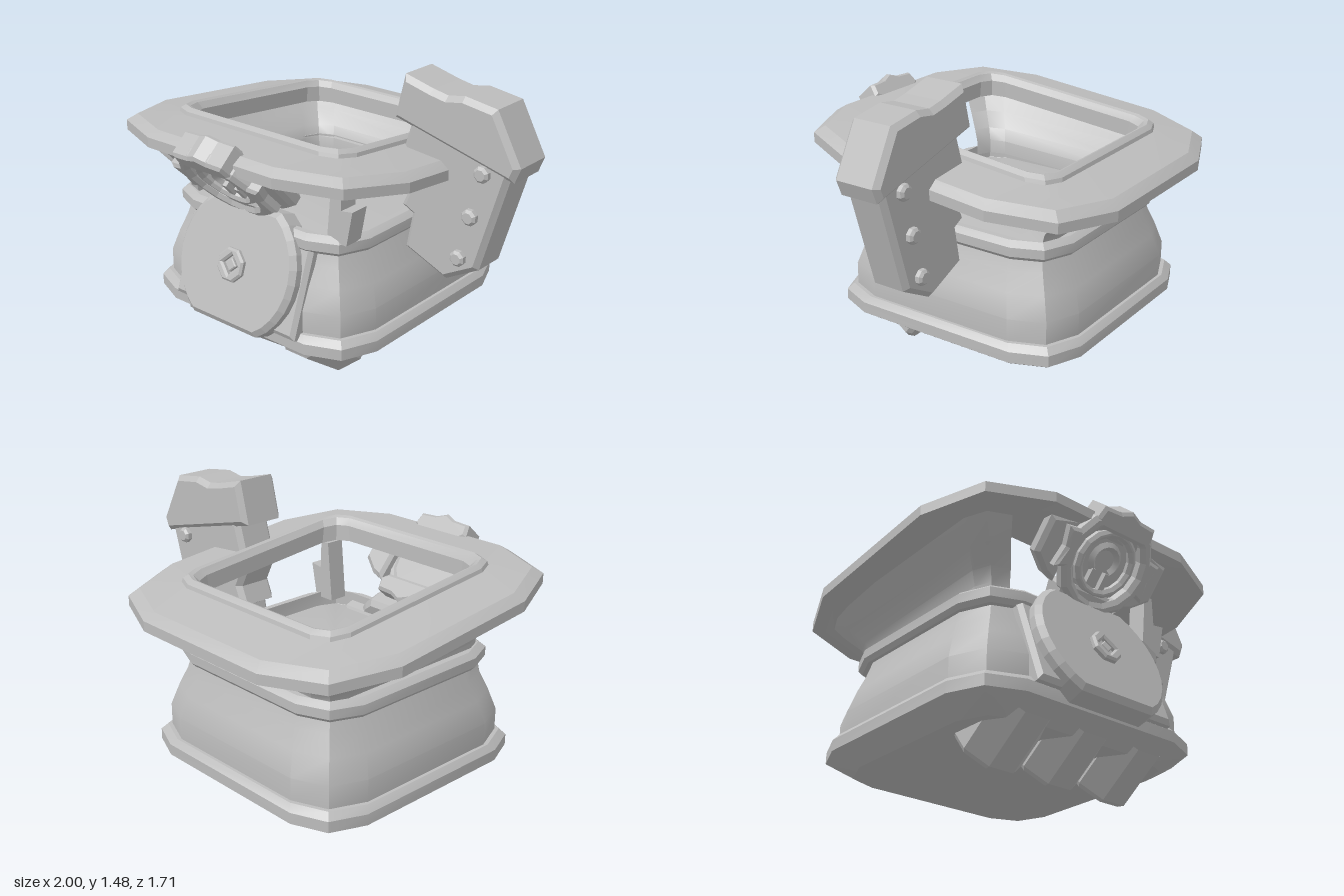
import * as THREE from 'three';
import { toCreasedNormals } from 'three/addons/utils/BufferGeometryUtils.js';

const CX = -0.185, CZ = -0.04;

export function createModel() {
  const group = new THREE.Group();
  const grey = new THREE.MeshStandardMaterial({ color: 0xbcbcbc });
  grey.name = 'stone grey';
  grey.side = THREE.DoubleSide;

  function add(name, geo, parent = group, x = 0, y = 0, z = 0) {
    const mesh = new THREE.Mesh(geo, grey);
    mesh.name = name;
    mesh.position.set(x, y, z);
    parent.add(mesh);
    return mesh;
  }

  // Stacked rounded squares; each ring is [half width, corner radius, height].
  function loft(rings, { slope = 0, crease = 0.5, keep = () => true } = {}) {
    const pos = [], index = [];
    for (const [h, c, y] of rings) {
      for (let q = 0; q < 4; q++) {
        for (let k = 0; k < 3; k++) {
          const a = (q + k / 2) * Math.PI / 2, m = (q + 0.5) * Math.PI / 2;
          const x = Math.sign(Math.cos(m)) * (h - c) + Math.cos(a) * c;
          const z = Math.sign(Math.sin(m)) * (h - c) + Math.sin(a) * c;
          pos.push(CX + x, y + slope * z, CZ + z);
        }
      }
    }
    for (let i = 0; i < rings.length - 1; i++) {
      for (let j = 0; j < 12; j++) {
        if (!keep(j)) continue;
        const a = i * 12 + j, b = i * 12 + (j + 1) % 12;
        index.push(a, a + 12, b, b, a + 12, b + 12);
      }
    }
    const geo = new THREE.BufferGeometry();
    geo.setAttribute('position', new THREE.Float32BufferAttribute(pos, 3));
    geo.setIndex(index);
    return toCreasedNormals(geo, crease);
  }

  // Bevelled plate, centred on z = 0, keeping the given outline.
  function plate(points, depth, bevel, holes = []) {
    const shape = new THREE.Shape(points.map(p => new THREE.Vector2(p[0], p[1])));
    for (const h of holes) shape.holes.push(new THREE.Path(h.map(p => new THREE.Vector2(p[0], p[1]))));
    const geo = new THREE.ExtrudeGeometry(shape, {
      depth: depth - 2 * bevel, bevelEnabled: bevel > 0, bevelSize: bevel,
      bevelThickness: bevel, bevelOffset: -bevel, bevelSegments: 1
    });
    geo.translate(0, 0, bevel - depth / 2);
    return geo;
  }

  const polygon = (n, r, turn = 0) => Array.from({ length: n }, (_, i) => {
    const a = (i + turn) / n * Math.PI * 2;
    return [Math.cos(a) * r, Math.sin(a) * r];
  });

  // Body with floor, foot trim and waist band
  add('body', loft([
    [0.6, 0.22, 0.3], [0.635, 0.24, 0.32], [0.635, 0.24, 0.43], [0.6, 0.23, 0.54],
    [0.565, 0.22, 0.63], [0.54, 0.2, 0.71], [0.5, 0.1, 0.715], [0, 0, 0.715]
  ]));
  add('baseTrim', loft([
    [0, 0, 0.162], [0.565, 0.2, 0.162], [0.625, 0.22, 0.2], [0.675, 0.24, 0.235],
    [0.675, 0.24, 0.29], [0.65, 0.24, 0.32], [0.6, 0.22, 0.32]
  ], { crease: 0.4 }));
  add('waistBand', loft([
    [0.52, 0.18, 0.69], [0.56, 0.2, 0.695], [0.578, 0.21, 0.715], [0.578, 0.21, 0.76],
    [0.55, 0.2, 0.785], [0.52, 0.12, 0.785], [0.52, 0.12, 0.71]
  ], { crease: 0.4 }));

  // Neck: open at the front and on the arm side
  add('neck', loft([
    [0.51, 0.11, 0.72], [0.515, 0.11, 0.79], [0.545, 0.12, 0.85], [0.61, 0.13, 0.92], [0.68, 0.15, 1.01]
  ], { slope: 0.04, keep: j => j >= 3 && j <= 9 }));
  add('neckPost', plate([
    [0.25, 0.76], [0.365, 0.76], [0.4, 0.935], [0.335, 0.925], [0.33, 1.07], [0.28, 1.07]
  ], 0.1, 0), group, 0, 0, 0.415);

  // Tilted brim with raised collar around the opening
  add('brim', loft([
    [0.475, 0.1, 1.04], [0.62, 0.2, 1.03], [0.76, 0.39, 1.005], [0.815, 0.42, 1.015],
    [0.815, 0.42, 1.065], [0.77, 0.4, 1.1], [0.545, 0.12, 1.122], [0.54, 0.12, 1.14],
    [0.515, 0.1, 1.157], [0.5, 0.1, 1.15], [0.475, 0.09, 1.12], [0.475, 0.1, 1.04]
  ], { slope: 0.1, crease: 0.3 }));

  // Round front shield, leaning back, on a square housing
  const shield = new THREE.Group();
  shield.name = 'shield';
  shield.position.set(CX, 0.545, 0.575);
  shield.rotation.x = -0.34;
  group.add(shield);
  const disc = polygon(32, 0.372).map(([x, y]) => [x, Math.max(-0.3, Math.min(0.3, y * 0.98))]);
  add('shieldDisc', plate(disc, 0.14, 0.025), shield);
  add('shieldHousing', plate([[-0.395, -0.26], [0.395, -0.26], [0.395, 0.22], [-0.395, 0.22]], 0.1, 0.02), shield, 0, 0, -0.04);
  add('shieldBolt', plate(polygon(8, 0.085, 0.5), 0.035, 0.01, [polygon(4, 0.05)]), shield, 0, -0.005, 0.08);
  add('shieldBoltCore', plate(polygon(4, 0.035), 0.03, 0.005), shield, 0, -0.005, 0.075);

  // Lock socket under the brim, leaning forward
  const socket = new THREE.Group();
  socket.name = 'socket';
  socket.position.set(CX, 0.99, 0.66);
  socket.rotation.x = 0.73;
  group.add(socket);
  add('socketRing', plate(polygon(12, 0.25, 0.5), 0.08, 0.02, [polygon(16, 0.185)]), socket);
  add('socketInnerRing', plate(polygon(16, 0.165), 0.05, 0.015, [polygon(16, 0.125)]), socket);
  add('socketBack', plate(polygon(16, 0.19), 0.02, 0), socket, 0, 0, -0.028);
  const hook = new THREE.TorusGeometry(0.07, 0.02, 4, 12, Math.PI * 1.5);
  hook.rotateZ(-Math.PI / 4);
  add('socketHook', toCreasedNormals(hook, 0.6), socket, 0, 0.01, -0.01);
  for (const s of [-1, 1]) {
    add('socketLug', new THREE.BoxGeometry(0.03, 0.08, 0.04), socket, s * 0.04, -0.08, -0.01);
    const wing = [[0.2, -0.17], [0.27, -0.15], [0.36, -0.08], [0.36, 0.1], [0.2, 0.14]].map(([x, y]) => [x * s, y]);
    add('socketWing', plate(wing, 0.08, 0.02), socket, 0, 0, -0.05);
    const cheek = [[0.2, -0.08], [0.27, -0.1], [0.255, 0], [0.28, 0.09], [0.2, 0.1]].map(([x, y]) => [x * s, y]);
    add('socketCheek', plate(cheek, 0.08, 0.015), socket);
  }
  // Pointed crests over and under the socket
  const crest = plate([
    [-0.17, 0.17], [-0.13, 0.14], [0.13, 0.14], [0.17, 0.17], [0.155, 0.235],
    [0.06, 0.24], [0, 0.265], [-0.06, 0.24], [-0.155, 0.235]
  ], 0.14, 0.015);
  add('upperCrest', crest, socket, 0, 0, -0.03);
  add('lowerCrest', crest, socket, 0, 0, -0.05).rotation.z = Math.PI;

  // Three eight-sided feet sloping down to the back, with bevelled ends
  const footProfile = [[0, -0.165], [0.15, -0.165], [0.172, -0.14], [0.172, 0.15]]
    .map(([r, y]) => new THREE.Vector2(r, y));
  for (let i = -1; i <= 1; i++) {
    const geo = new THREE.LatheGeometry(footProfile, 8, Math.PI / 8);
    geo.rotateX(0.93);
    add('foot', toCreasedNormals(geo, 0.3), group, CX + i * 0.33, 0.21, 0.36);
  }

  // Side lever: shank, head and rivets
  const lever = new THREE.Group();
  lever.name = 'lever';
  lever.position.z = -0.037;
  group.add(lever);
  add('leverShank', plate([
    [0.385, 0.62], [0.62, 0.522], [0.8, 0.62], [0.96, 1.16], [0.42, 1.3],
    [0.34, 1.04], [0.4, 0.92], [0.36, 0.83], [0.42, 0.8]
  ], 0.21, 0.025), lever);
  add('leverHead', plate([
    [0.32, 1.26], [0.97, 1.095], [1, 1.17], [0.87, 1.41], [0.7, 1.435],
    [0.61, 1.42], [0.53, 1.435], [0.375, 1.475]
  ], 0.245, 0.025), lever);
  for (const [x, y] of [[0.815, 1.105], [0.76, 0.885], [0.705, 0.665]]) {
    add('rivet', plate(polygon(8, 0.04, 0.5), 0.275, 0.012), lever, x, y, 0);
  }
  return group;
}
